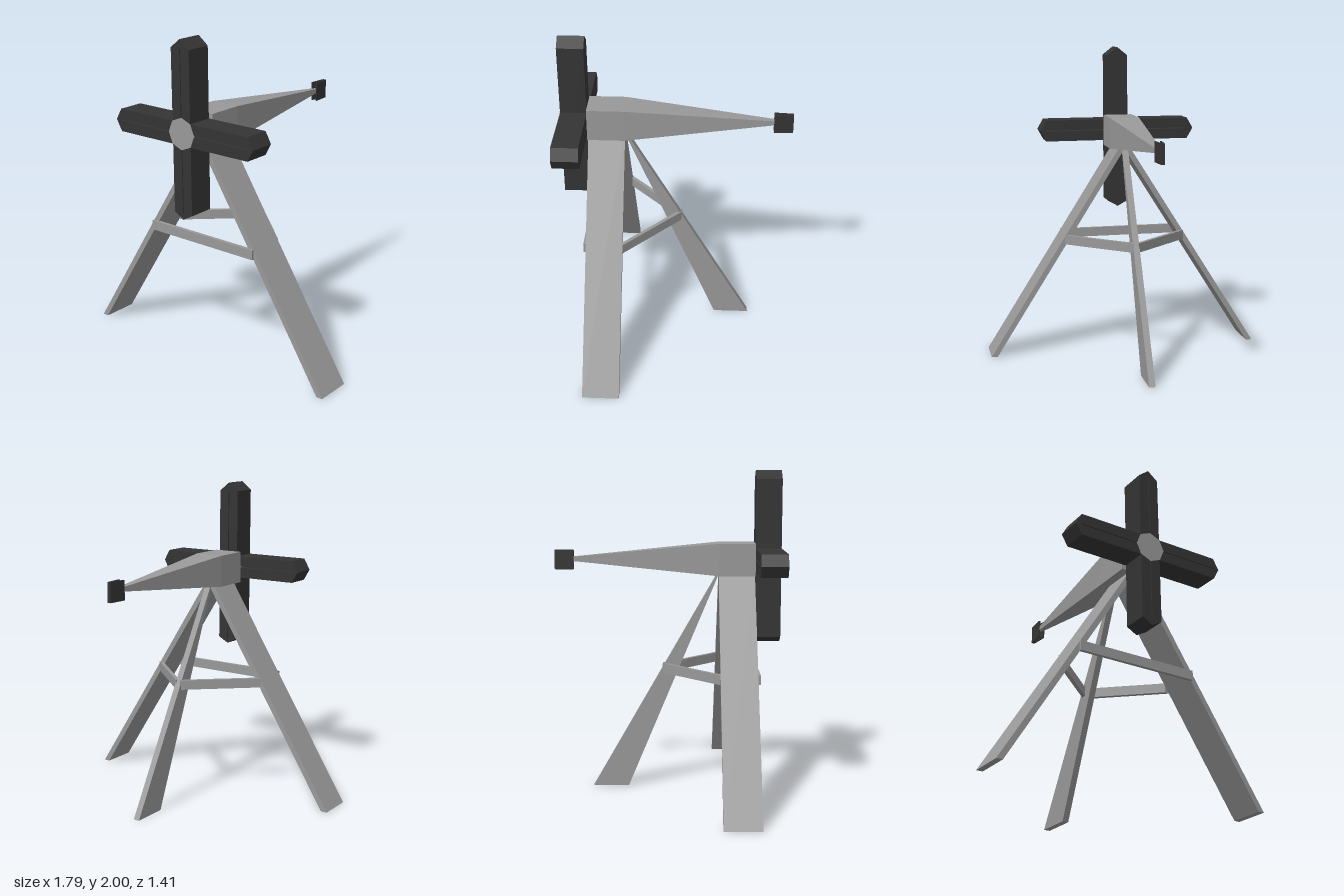
import * as THREE from 'three';

const grey = new THREE.MeshStandardMaterial({ color: 0x999999, flatShading: true });
const dark = new THREE.MeshStandardMaterial({ color: 0x343434, flatShading: true });

const AXIS_Y = 1.455; // height of the rotor shaft

const toVectors = (points) => points.map(([x, y]) => new THREE.Vector2(x, y));

// Outline in x,y (with an optional hole) swept along z, starting at z = from
function prism(points, depth, from, hole) {
  const shape = new THREE.Shape(toVectors(points));
  if (hole) shape.holes.push(new THREE.Path(toVectors(hole)));
  return new THREE.ExtrudeGeometry(shape, { depth, bevelEnabled: false }).translate(0, 0, from);
}

const rectangle = (x0, y0, x1, y1) => [[x0, y0], [x1, y0], [x1, y1], [x0, y1]];

export function createModel() {
  const model = new THREE.Group();
  const add = (name, geometry, material = grey) => {
    const mesh = new THREE.Mesh(geometry, material);
    mesh.name = name;
    model.add(mesh);
  };

  // Square head block
  add('head', new THREE.BoxGeometry(0.19, 0.2, 0.225).translate(0, AXIS_Y, 0.4275));

  // Tail boom: a box squeezed to a thin tip at the back
  const boom = new THREE.BoxGeometry(0.19, 0.2, 1.005);
  const p = boom.attributes.position;
  for (let i = 0; i < p.count; i++) {
    if (p.getZ(i) < 0) p.setXY(i, Math.sign(p.getX(i)) * 0.007, Math.sign(p.getY(i)) * 0.004);
  }
  boom.computeVertexNormals();
  add('tailBoom', boom.translate(0, AXIS_Y, -0.1875));

  // Tail vane: a narrow V wrapped round the tip of the boom
  const vane = prism([
    [-0.021, 0.588], [-0.012, 0.588], [-0.003, 0.69], [0.003, 0.69],
    [0.012, 0.588], [0.021, 0.588], [0.011, 0.705], [-0.011, 0.705],
  ], 0.12, -0.06);
  add('tailVane', vane.rotateX(-Math.PI / 2).translate(0, 1.45, 0), dark);

  // Rotor: two crossed beams with pointed ends, each split by a fine slot
  const verticalBlade = [
    [0, 2], [-0.067, 1.947], [-0.067, 0.972], [0, 0.935], [0.067, 0.972], [0.067, 1.947],
  ];
  const horizontalBlade = [
    [0.518, AXIS_Y], [0.48, 1.524], [-0.48, 1.524],
    [-0.52, AXIS_Y], [-0.48, 1.386], [0.48, 1.386],
  ];
  const verticalSlot = rectangle(-0.003, 0.972, 0.003, 1.945);
  const horizontalSlot = rectangle(-0.48, AXIS_Y - 0.003, 0.48, AXIS_Y + 0.003);
  add('verticalBlade', prism(verticalBlade, 0.16, 0.54, verticalSlot), dark);
  add('horizontalBlade', prism(horizontalBlade, 0.16, 0.54, horizontalSlot), dark);

  // Octagonal hub
  const hub = new THREE.CylinderGeometry(0.096, 0.096, 0.17, 8).rotateX(Math.PI / 2);
  add('hub', hub.translate(0, AXIS_Y, 0.618));

  // Splayed front legs and the level braces running back from them
  for (const side of [1, -1]) {
    const label = side > 0 ? 'left' : 'right';
    const mirrored = (points) => points.map(([x, y]) => [side * x, y]);

    const leg = [[0.855, 0], [0.895, 0], [0.03, 1.37], [-0.01, 1.37]];
    add(label + 'FrontLeg', prism(mirrored(leg), 0.225, 0.315));

    const brace = [[0.4, -0.315], [0.365, -0.315], [0.015, 0.001], [0.015, 0.033]];
    add(label + 'Brace', prism(mirrored(brace), 0.06, 0.735).rotateX(-Math.PI / 2));
  }

  // Rear leg, widening towards the ground
  const rearLeg = prism([[-0.473, 0], [-0.25, 0], [0.32, 1.37], [0.31, 1.37]], 0.04, -0.02);
  add('rearLeg', rearLeg.rotateY(-Math.PI / 2));

  // Cross brace on the faces of the front legs
  add('frontBrace', prism(rectangle(-0.395, 0.735, 0.395, 0.795), 0.022, 0.533));

  return model;
}
